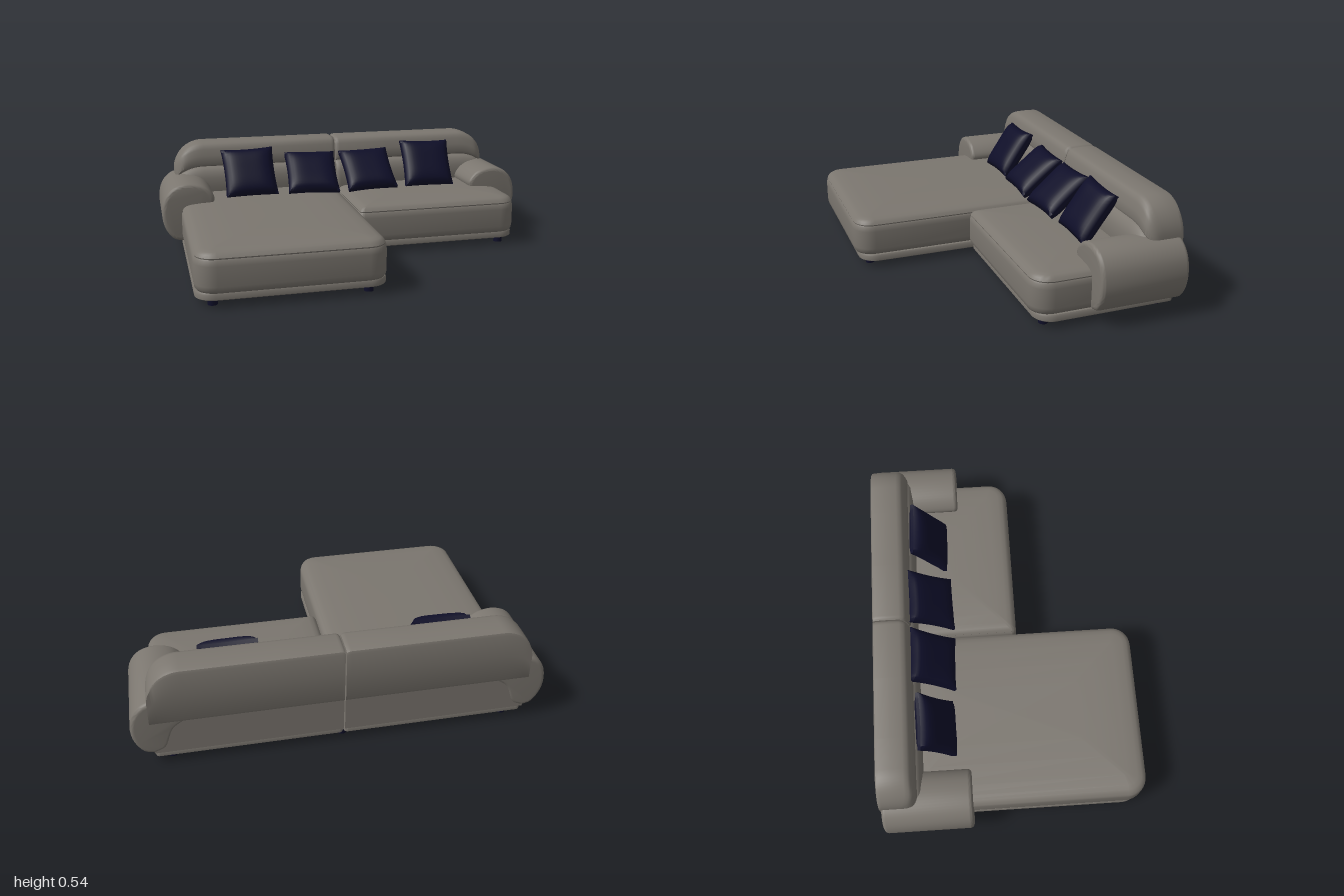
import * as THREE from 'three';
import { mergeVertices, toCreasedNormals } from 'three/addons/utils/BufferGeometryUtils.js';

const fabric = new THREE.MeshStandardMaterial({ color: 0x7b766f });
fabric.name = 'taupe fabric';
const navy = new THREE.MeshStandardMaterial({ color: 0x0e0e28 });
navy.name = 'navy';

// Skin a list of closed rings and cap both ends
function loft(rings) {
  const n = rings[0].length, pos = [], idx = [];
  rings.forEach(r => r.forEach(p => pos.push(...p)));
  for (let j = 0; j < rings.length - 1; j++) {
    for (let i = 0; i < n; i++) {
      const a = j * n + i, b = j * n + (i + 1) % n;
      idx.push(a, a + n, b, b, a + n, b + n);
    }
  }
  const cap = (ring, start, flip) => {
    const c = pos.length / 3;
    pos.push(...[0, 1, 2].map(k => ring.reduce((s, p) => s + p[k], 0) / n));
    for (let i = 0; i < n; i++) {
      const a = start + i, b = start + (i + 1) % n;
      idx.push(c, flip ? b : a, flip ? a : b);
    }
  };
  cap(rings[0], 0, false);
  cap(rings[rings.length - 1], (rings.length - 1) * n, true);
  const g = new THREE.BufferGeometry();
  g.setAttribute('position', new THREE.Float32BufferAttribute(pos, 3));
  g.setIndex(idx);
  return toCreasedNormals(g, 0.75);
}

// Rounded rectangle in plan; radii: front right, front left, back left, back right
function outline(x0, x1, z0, z1, radii, inset, y) {
  const pts = [], steps = 8;
  const corners = [[x1, z1, -1, -1], [x0, z1, 1, -1], [x0, z0, 1, 1], [x1, z0, -1, 1]];
  corners.forEach(([cx, cz, sx, sz], k) => {
    const r = Math.max(radii[k] - inset, 0.015);
    for (let i = 0; i <= steps; i++) {
      const a = (k + i / steps) * Math.PI / 2;
      pts.push([cx + sx * (inset + r) + r * Math.cos(a), y, cz + sz * (inset + r) + r * Math.sin(a)]);
    }
  });
  return pts;
}

const slab = (x0, x1, z0, z1, radii, profile) =>
  loft(profile.map(([y, inset]) => outline(x0, x1, z0, z1, radii, inset, y)));

// Height and inset of the seat edge, seam and crowned top
const seatProfile = [[0.068, 0.025], [0.073, 0.012], [0.085, 0.003], [0.105, 0], [0.2, 0], [0.224, 0.003],
  [0.23, 0.008], [0.236, 0.006], [0.25, 0.014], [0.259, 0.028], [0.265, 0.05], [0.27, 0.1], [0.275, 0.2], [0.276, 0.3]];
const baseProfile = [[0.034, 0.006], [0.038, 0.001], [0.062, 0], [0.07, 0.005]];

// Backrest side section (z, y): up the front, over the top, down the back
const backSection = [[-0.46, 0.25], [-0.452, 0.3], [-0.456, 0.35], [-0.466, 0.385], [-0.482, 0.402], [-0.5, 0.409],
  [-0.483, 0.417], [-0.478, 0.43], [-0.484, 0.47], [-0.493, 0.505], [-0.5, 0.521], [-0.51, 0.532], [-0.53, 0.539],
  [-0.59, 0.541], [-0.645, 0.539], [-0.66, 0.533], [-0.665, 0.52], [-0.665, 0.4], [-0.665, 0.262], [-0.66, 0.25]];

function backrest(side) {
  const xs = [0.003, 0.007, 0.014, 0.024, 0.3, 0.6, 0.75];
  for (let i = 1; i <= 14; i++) xs.push(0.75 + 0.16 * Math.sin(i / 14 * Math.PI / 2));
  const arc = (x, from, r) => Math.sqrt(Math.max(0, 1 - Math.max(0, (x - from) / r) ** 2));
  const rings = xs.map(x => {
    const soft = 0.016 * (1 - Math.sqrt(1 - Math.max(0, 1 - x / 0.024) ** 2));
    const top = 0.375 + 0.165 * arc(x, 0.75, 0.16) - soft;
    const depth = 0.2 - 0.06 * (1 - arc(x, 0.85, 0.06)) - soft;
    return backSection.map(([z, y]) =>
      [side * x, 0.25 + (y - 0.25) * (top - 0.25) / 0.29, -0.665 + (z + 0.665) * depth / 0.2]);
  });
  return loft(side > 0 ? rings : rings.reverse());
}

// Rolled arm swept front to back
function armrest(side) {
  const pts = [[0.9, 0.068], [0.95, 0.085], [0.988, 0.145], [1, 0.22], [0.983, 0.3], [0.935, 0.355], [0.86, 0.375],
    [0.775, 0.355], [0.724, 0.3], [0.74, 0.25], [0.8, 0.2], [0.84, 0.1]]
    .map(([x, y]) => new THREE.Vector2(side * x, y));
  const curve = new THREE.SplineCurve([...pts, pts[0]]);
  const g = new THREE.ExtrudeGeometry(new THREE.Shape(curve.getPoints(60).slice(0, -1)), {
    depth: 0.405, bevelEnabled: true, bevelSize: 0.02, bevelOffset: -0.02, bevelThickness: 0.02, bevelSegments: 5 });
  g.translate(0, 0, -0.64);
  return toCreasedNormals(g, 0.7);
}

// Stuffed square pillow with a thin edge and slightly drawn-in sides
function pillowGeometry(size, thick) {
  let g = new THREE.BoxGeometry(2, 2, 2, 16, 16, 2);
  const p = g.attributes.position;
  for (let i = 0; i < p.count; i++) {
    const x = p.getX(i), y = p.getY(i), z = p.getZ(i);
    const puff = Math.sqrt(Math.max(0, (1 - x ** 4) * (1 - y ** 4)));
    p.setXYZ(i, x * size / 2 * (1 - 0.05 * (1 - y * y)), y * size / 2 * (1 - 0.05 * (1 - x * x)),
      z * (0.009 + (thick / 2 - 0.009) * puff));
  }
  g.deleteAttribute('normal');
  g.deleteAttribute('uv');
  g = mergeVertices(g);
  return toCreasedNormals(g, 0.9);
}

export function createModel() {
  const sofa = new THREE.Group();
  sofa.name = 'sectionalSofa';
  const add = (name, geometry, material, x = 0, y = 0, z = 0) => {
    const m = new THREE.Mesh(geometry, material);
    m.name = name;
    m.position.set(x, y, z);
    sofa.add(m);
    return m;
  };

  // Seat cushions and plinths: long chaise on -x, short seat on +x
  add('chaiseSeat', slab(-0.9, -0.002, -0.63, 0.662, [0.1, 0.1, 0.02, 0.02], seatProfile), fabric);
  add('shortSeat', slab(0.002, 0.9, -0.63, 0.062, [0.1, 0.03, 0.02, 0.02], seatProfile), fabric);
  add('chaiseBase', slab(-0.9, -0.001, -0.648, 0.64, [0.09, 0.09, 0.02, 0.02], baseProfile), fabric);
  add('shortBase', slab(0.001, 0.9, -0.648, 0.04, [0.09, 0.02, 0.02, 0.02], baseProfile), fabric);

  const pillow = pillowGeometry(0.285, 0.095);
  for (const side of [-1, 1]) {
    const label = side > 0 ? 'left' : 'right';
    add(label + 'Backrest', backrest(side), fabric);
    add(label + 'Armrest', armrest(side), fabric);
    add(label + 'BackPanel', new THREE.BoxGeometry(0.9, 0.2, 0.05), fabric, side * 0.453, 0.168, -0.632);

    // Outer pillow stands up, inner one leans further back
    const outer = add(label + 'OuterPillow', pillow, navy, side * 0.513, 0.388, -0.375);
    outer.rotation.set(-0.6, 0, -side * 0.03);
    const inner = add(label + 'InnerPillow', pillow, navy, side * 0.163, 0.37, -0.38);
    inner.rotation.set(-0.87, 0, side * 0.04);
  }

  // Feet
  const foot = new THREE.CylinderGeometry(0.023, 0.023, 0.04, 16);
  const feet = [[-0.82, 0.58], [-0.09, 0.58], [-0.82, -0.015], [0.08, -0.015],
    [0.82, -0.015], [-0.82, -0.595], [0, -0.595], [0.82, -0.595]];
  for (const [x, z] of feet) add('foot', foot, navy, x, 0.02, z);

  return sofa;
}
